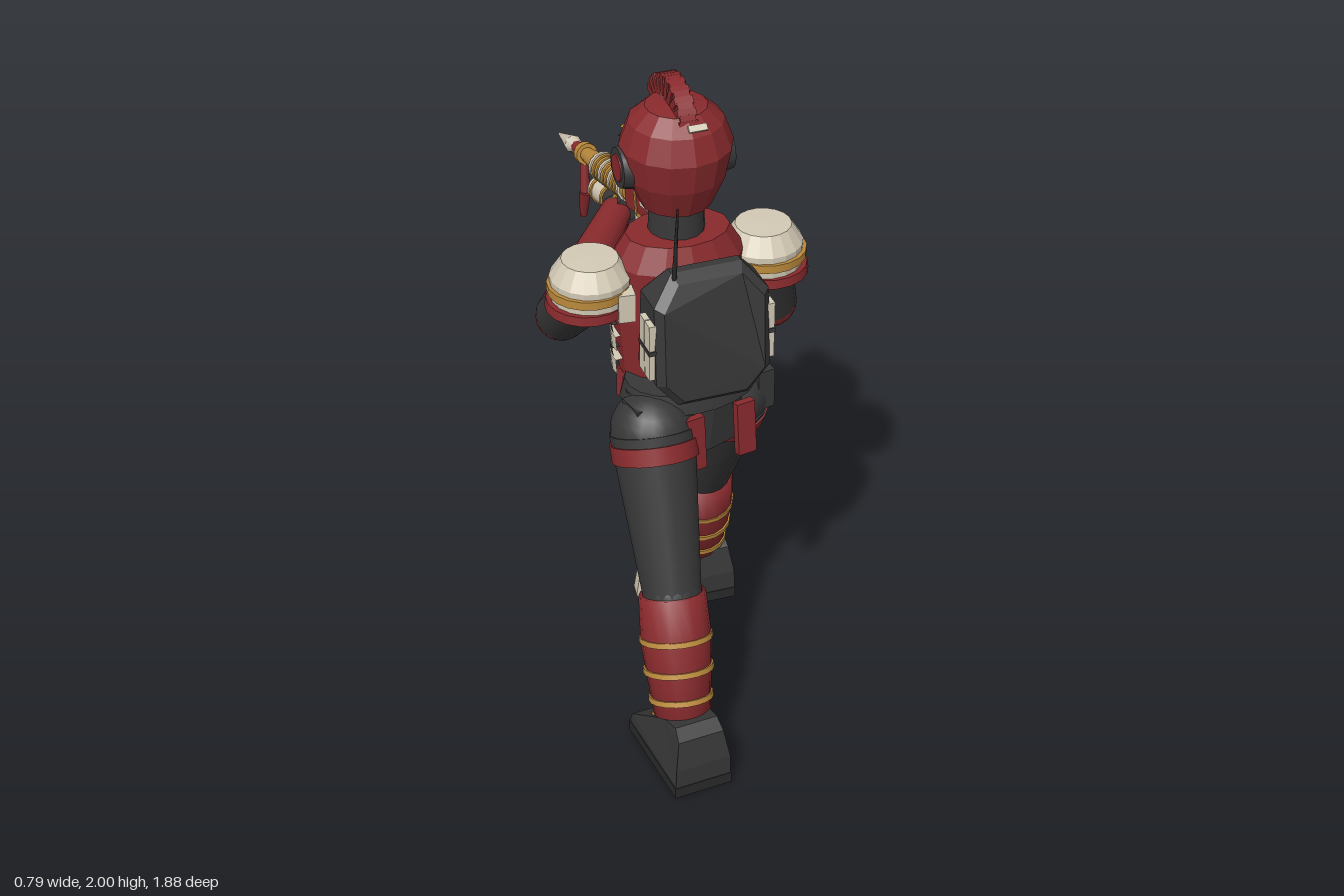
import * as THREE from 'three';

const mat = (name, color) => Object.assign(new THREE.MeshStandardMaterial({ color }), { name });
const red = mat('armour red', 0x892a2d), dark = mat('charcoal cloth', 0x383838), bone = mat('bone white', 0xd3c9b5);
const gold = mat('brass', 0xbb8a3c), black = mat('black rubber', 0x2a2a2a);
const V = (x, y, z) => new THREE.Vector3(x, y, z);
const UP = V(0, 1, 0);

function add(parent, name, geo, m, x = 0, y = 0, z = 0, rx = 0, ry = 0, rz = 0) {
  const mesh = new THREE.Mesh(geo, m);
  mesh.name = name;
  mesh.position.set(x, y, z);
  mesh.rotation.set(rx, ry, rz);
  parent.add(mesh);
  return mesh;
}
const box = (w, h, d) => new THREE.BoxGeometry(w, h, d);
const shape = (pts) => new THREE.Shape(pts.map(p => new THREE.Vector2(p[0], p[1])));
const faceted = (g) => { const f = g.index ? g.toNonIndexed() : g; f.computeVertexNormals(); return f; };
// Lathe from [radius, height] pairs given bottom to top
const lathe = (pts, n = 20) => new THREE.LatheGeometry(pts.map(p => new THREE.Vector2(p[0], p[1])), n);
// Tapered round segment from a to b
function limb(parent, name, m, a, b, ra, rb, n = 18) {
  const d = b.clone().sub(a);
  const mesh = add(parent, name, new THREE.CylinderGeometry(rb, ra, d.length(), n), m);
  mesh.position.copy(a).addScaledVector(d, 0.5);
  mesh.quaternion.setFromUnitVectors(UP, d.normalize());
  return mesh;
}
// Curved plate wrapping the front (-z) side
const frontPlate = (rTop, rBottom, h, arc, squash = 1) =>
  new THREE.CylinderGeometry(rTop, rBottom, h, 16, 1, false, Math.PI - arc / 2, arc).scale(1, 1, squash);

function buildFoot(parent, x, z, yaw) {
  const foot = new THREE.Group();
  foot.name = 'foot';
  const side = shape([[0.168, 0.035], [0.168, 0.1], [0.15, 0.19], [0.115, 0.22], [0.04, 0.2], [-0.15, 0.075], [-0.168, 0.035]]);
  const upper = new THREE.ExtrudeGeometry(side, { depth: 0.178, bevelEnabled: false })
    .translate(0, 0, -0.089).rotateY(-Math.PI / 2);
  const p = upper.attributes.position;
  for (let i = 0; i < p.count; i++) p.setX(i, p.getX(i) * (1 - Math.max(0, p.getY(i) - 0.09) * 1.9));
  add(foot, 'boot upper', faceted(upper), dark);
  add(foot, 'boot sole', box(0.182, 0.036, 0.34), black, 0, 0.018, 0);
  add(foot, 'boot buckle', box(0.13, 0.012, 0.03), gold, 0, 0.143, -0.05, -0.57);
  foot.position.set(x, 0, z);
  foot.rotation.y = yaw;
  parent.add(foot);
}

function buildLeg(parent, hip, knee, ankle, pad, padTilt) {
  const leg = new THREE.Group();
  leg.name = 'leg';
  const at = (t) => hip.clone().lerp(knee, t);
  add(leg, 'hip joint', new THREE.SphereGeometry(0.125, 18, 12), dark, hip.x, hip.y, hip.z);
  limb(leg, 'thigh', dark, hip, knee, 0.128, 0.088);
  limb(leg, 'thigh band', red, at(0.06), at(0.17), 0.131, 0.129);
  add(leg, 'knee joint', new THREE.SphereGeometry(0.09, 16, 12), dark, knee.x, knee.y, knee.z);
  // Shin guard with three brass rings
  const d = ankle.clone().sub(knee), len = d.length();
  const shin = add(leg, 'shin guard', lathe([[0, 0], [0.085, 0], [0.106, len * 0.6], [0.1, len], [0, len]], 18), red);
  shin.position.copy(ankle);
  shin.quaternion.setFromUnitVectors(UP, d.clone().normalize().negate());
  for (const [t, r] of [[0.34, 0.109], [0.6, 0.105], [0.84, 0.096]])
    limb(leg, 'shin ring', gold, knee.clone().addScaledVector(d, t), knee.clone().addScaledVector(d, t + 0.045), r, r + 0.001);
  add(leg, 'knee pad', faceted(lathe([[0, -0.075], [0.062, -0.075], [0.085, -0.02], [0.076, 0.07], [0, 0.07]], 10)
    .scale(1, 1, 0.75)), bone, pad.x, pad.y, pad.z, padTilt);
  parent.add(leg);
}

function buildHead(body) {
  const head = new THREE.Group();
  head.name = 'head';
  head.position.z = -0.015;
  body.add(head);
  add(head, 'helmet', faceted(lathe([[0, 1.62], [0.103, 1.62], [0.145, 1.715], [0.164, 1.81], [0.137, 1.885], [0.09, 1.928],
    [0, 1.94]], 14)), red);
  add(head, 'visor', frontPlate(0.17, 0.158, 0.12, 1.9), black, 0, 1.74, 0);
  add(head, 'visor brow', frontPlate(0.174, 0.174, 0.018, 1.6), gold, 0, 1.806, 0);
  add(head, 'face mask', new THREE.CylinderGeometry(0.09, 0.065, 0.075, 12), dark, 0, 1.678, -0.105);
  add(head, 'goggles', frontPlate(0.184, 0.184, 0.055, 1.0), black, 0, 1.755, 0);
  add(head, 'mask filter', box(0.09, 0.055, 0.06), dark, 0, 1.672, -0.18);
  for (const s of [-1, 1]) {
    add(head, 'cheek guard', box(0.014, 0.1, 0.06), bone, s * 0.13, 1.715, -0.105, 0, s * 0.75);
    add(head, 'jaw guard', box(0.014, 0.04, 0.07), bone, s * 0.078, 1.67, -0.145, 0, s * 0.95);
    add(head, 'ear cup', new THREE.CylinderGeometry(0.06, 0.068, 0.04, 16), dark, s * 0.148, 1.745, -0.02, 0, 0, -s * Math.PI / 2);
    add(head, 'ear disc', new THREE.CylinderGeometry(0.04, 0.043, 0.045, 16), red, s * 0.15, 1.745, -0.02, 0, 0, -s * Math.PI / 2);
  }
  // Fan crest on a pale base
  add(head, 'crest base', new THREE.CylinderGeometry(0.085, 0.085, 0.052, 24).rotateZ(Math.PI / 2).scale(1, 1, 1.4),
    bone, 0, 1.868, -0.028);
  for (let i = 0; i < 19; i++) {
    const a = -1.25 + i * 0.139;
    add(head, 'crest fin', box(i % 2 ? 0.046 : 0.056, 0.06, 0.0225), red, 0, 1.872 + Math.cos(a) * 0.097,
      -0.028 + Math.sin(a) * 0.108, a);
  }
  add(head, 'helmet badge', box(0.055, 0.02, 0.008), bone, 0.02, 1.907, 0.118, -0.85);
}

function buildUpperBody(root) {
  const body = new THREE.Group();
  body.name = 'upperBody';
  body.position.set(0, 0, 0.25);
  body.rotation.y = 0.13;
  root.add(body);
  add(body, 'torso', faceted(lathe([[0, 1.08], [0.175, 1.08], [0.195, 1.28], [0.2, 1.46], [0.155, 1.535], [0, 1.535]], 14)
    .scale(1, 1, 0.72)), red);
  add(body, 'chest plate', frontPlate(0.211, 0.208, 0.17, 2.3, 0.72), bone, 0, 1.335, 0);
  const wing = shape([[-0.1, 0.07], [-0.03, 0.045], [0, 0.06], [0.03, 0.045], [0.1, 0.07], [0.045, 0], [0, -0.06], [-0.045, 0]]);
  add(body, 'chest ornament', new THREE.ExtrudeGeometry(wing, { depth: 0.008, bevelEnabled: false }), gold, 0, 1.37, -0.161);
  for (const s of [-1, 1])
    add(body, 'chest inlay', box(0.045, 0.03, 0.008), red, s * 0.085, 1.315, -0.143, 0, -s * 0.32);
  for (const [y, h, m] of [[1.235, 0.03, dark], [1.195, 0.05, bone], [1.155, 0.03, dark], [1.115, 0.05, bone]])
    add(body, 'abdomen band', frontPlate(0.203, 0.199, h, m === bone ? 3.5 : 3.2, 0.74), m, 0, y, 0);

  // Backpack with side canisters and antenna
  const w = 0.15, c = 0.055;
  const pack = shape([[-w + c, 1.155], [w - c, 1.155], [w, 1.22], [w, 1.45], [w - c, 1.515], [-w + c, 1.515], [-w, 1.45],
    [-w, 1.22]]);
  const g = new THREE.ExtrudeGeometry(pack, { depth: 0.15, bevelSize: 0.022, bevelThickness: 0.022, bevelSegments: 1 });
  const p = g.attributes.position;
  for (let i = 0; i < p.count; i++) {
    const rise = Math.max(0, p.getY(i) - 1.42);
    p.setZ(i, p.getZ(i) + rise * (p.getZ(i) > 0.08 ? -0.55 : 0.5));
  }
  add(body, 'backpack', faceted(g), dark, 0, 0, 0.145);
  for (const s of [-1, 1]) {
    for (const y of [1.27, 1.365])
      for (const z of [0.223, 0.265]) add(body, 'backpack canister', box(0.025, 0.084, 0.038), bone, s * 0.177, y, z);
    add(body, 'canister strap', box(0.027, 0.014, 0.088), dark, s * 0.178, 1.318, 0.244);
  }
  limb(body, 'antenna', black, V(-0.1, 1.5, 0.24), V(-0.105, 1.77, 0.28), 0.008, 0.003, 6);
  add(body, 'neck', new THREE.CylinderGeometry(0.078, 0.085, 0.16, 14), dark, 0, 1.57, -0.01);
  buildHead(body);
}

function buildArm(root, side, shoulder, elbow, hand) {
  const arm = new THREE.Group();
  arm.name = side + 'Arm';
  root.add(arm);
  limb(arm, 'upper arm', dark, shoulder, elbow, 0.085, 0.078);
  add(arm, 'elbow', new THREE.SphereGeometry(0.078, 16, 12), red, elbow.x, elbow.y, elbow.z);
  limb(arm, 'forearm', red, elbow, hand, 0.078, 0.05);
  add(arm, 'glove', new THREE.SphereGeometry(0.05, 14, 10), dark, hand.x, hand.y, hand.z);
  // Layered shoulder guard
  const pad = new THREE.Group();
  pad.name = 'shoulderGuard';
  pad.position.set(shoulder.x, 0, shoulder.z);
  const s = Math.sign(shoulder.x);
  add(pad, 'guard dome', faceted(lathe([[0, 1.37], [0.116, 1.37], [0.118, 1.44], [0.083, 1.494], [0, 1.496]], 18)), bone);
  add(pad, 'guard band', new THREE.CylinderGeometry(0.121, 0.121, 0.026, 18), gold, s * 0.006, 1.408, 0.006);
  add(pad, 'guard rim', new THREE.CylinderGeometry(0.12, 0.124, 0.028, 18), red, s * 0.01, 1.357, 0.006);
  add(pad, 'guard strap', box(0.05, 0.09, 0.07), bone, -s * 0.085, 1.375, 0.075);
  arm.add(pad);
}

function buildRifle(root) {
  const gun = new THREE.Group();
  gun.name = 'rifle';
  gun.position.set(0.085, 1.4, 0.07);
  root.add(gun);
  gun.lookAt(-0.125, 1.22, -0.94);
  // Round part along the rifle, from distance a to b
  const tube = (name, m, a, b, ra, rb = ra, y = 0, n = 14) => limb(gun, name, m, V(0, y, a), V(0, y, b), ra, rb, n);
  add(gun, 'stock', box(0.055, 0.08, 0.16), bone, 0, -0.005, 0.08);
  add(gun, 'stock butt', box(0.06, 0.09, 0.014), gold, 0, -0.005, 0.007);
  add(gun, 'stock lower trim', box(0.06, 0.012, 0.15), gold, 0, -0.045, 0.085);
  add(gun, 'stock inlay', box(0.06, 0.016, 0.06), dark, 0, 0.005, 0.09);
  add(gun, 'receiver', box(0.065, 0.08, 0.28), red, 0, -0.004, 0.28);
  add(gun, 'receiver cover', box(0.058, 0.02, 0.25), bone, 0, 0.042, 0.28);
  for (const z of [0.15, 0.34]) add(gun, 'receiver band', box(0.07, 0.09, 0.014), gold, 0, 0, z);
  add(gun, 'receiver side plate', box(0.07, 0.04, 0.06), bone, 0, 0.015, 0.275);
  add(gun, 'receiver lower trim', box(0.068, 0.014, 0.18), gold, 0, -0.044, 0.25);
  add(gun, 'receiver front', box(0.06, 0.07, 0.04), bone, 0, 0, 0.425);
  tube('barrel jacket', gold, 0.42, 0.69, 0.041);
  for (let i = 0; i < 10; i++) tube('cooling ring', i % 3 ? gold : bone, 0.445 + i * 0.024, 0.459 + i * 0.024, 0.048);
  tube('barrel', gold, 0.69, 0.82, 0.034, 0.021);
  tube('barrel collar', gold, 0.8, 0.825, 0.036);
  tube('spear shaft', red, 0.82, 0.9, 0.019);
  tube('spear base', bone, 0.88, 0.915, 0.017, 0.03, 0, 8);
  tube('spear tip', bone, 0.915, 1.046, 0.03, 0.001, 0, 8);
  // Scope and sight
  tube('scope body', red, 0.1, 0.25, 0.035, 0.035, 0.112);
  tube('scope eyepiece', bone, 0.035, 0.105, 0.031, 0.036, 0.112);
  tube('scope lens', black, 0.028, 0.036, 0.025, 0.025, 0.112);
  for (const z of [0.13, 0.22]) {
    tube('scope ring', gold, z, z + 0.012, 0.039, 0.039, 0.112);
    add(gun, 'scope mount', box(0.025, 0.06, 0.02), dark, 0, 0.065, z);
  }
  add(gun, 'scope knob', box(0.015, 0.04, 0.015), dark, 0, 0.155, 0.14);
  add(gun, 'front sight', box(0.05, 0.022, 0.08), dark, 0, 0.072, 0.42);
  add(gun, 'sight post', box(0.02, 0.05, 0.02), dark, 0, 0.05, 0.41);
  // Lower parts
  add(gun, 'sling', box(0.03, 0.1, 0.03), red, 0, -0.085, 0.12, 0.5);
  add(gun, 'fore grip upper', box(0.045, 0.09, 0.065), bone, 0, -0.07, 0.345, -0.15);
  add(gun, 'fore grip lower', box(0.04, 0.1, 0.045), bone, 0, -0.15, 0.37, -0.4);
  add(gun, 'magazine', box(0.05, 0.16, 0.055), dark, 0, -0.11, 0.235, 0.15);
  for (const [y, z] of [[-0.06, 0.23], [-0.19, 0.222]])
    add(gun, 'magazine band', box(0.054, 0.016, 0.06), gold, 0, y, z, 0.15);
  tube('launcher grip', dark, 0.49, 0.6, 0.04, 0.04, -0.085);
  tube('launcher tube', bone, 0.59, 0.71, 0.038, 0.043, -0.085);
  for (const z of [0.52, 0.6, 0.68]) tube('launcher ring', gold, z, z + 0.013, 0.046, 0.046, -0.085);
  // Ribbon tied behind the spear tip
  limb(root, 'ribbon upper', red, V(-0.083, 1.25, -0.715), V(-0.085, 1.13, -0.695), 0.014, 0.019, 6);
  limb(root, 'ribbon tail', red, V(-0.085, 1.13, -0.695), V(-0.087, 1.03, -0.718), 0.019, 0.012, 6);
}

export function createModel() {
  const root = new THREE.Group();
  root.name = 'trooper';
  buildLeg(root, V(-0.115, 0.97, 0.43), V(-0.1, 0.52, 0.63), V(-0.1, 0.18, 0.77), V(-0.11, 0.49, 0.54), 0.15);
  buildLeg(root, V(0.15, 0.97, 0.28), V(0.13, 0.5, 0.035), V(0.13, 0.18, -0.035), V(0.13, 0.545, -0.022), -0.15);
  buildFoot(root, -0.105, 0.76, 0.2);
  buildFoot(root, 0.135, -0.105, 0.1);

  // Pelvis, belt and pouches
  const hips = new THREE.Group();
  hips.name = 'hips';
  hips.position.set(0.02, 0, 0.32);
  hips.rotation.y = 0.3;
  root.add(hips);
  add(hips, 'pelvis', faceted(new THREE.CylinderGeometry(0.2, 0.17, 0.2, 12).scale(1.05, 1, 0.74)), dark, 0, 0.98, 0);
  add(hips, 'belt', new THREE.CylinderGeometry(0.19, 0.205, 0.06, 20).scale(1.06, 1, 0.76), dark, 0, 1.07, 0);
  add(hips, 'belt buckle', box(0.08, 0.06, 0.02), gold, 0, 1.06, -0.16);
  for (const s of [-1, 1]) {
    add(hips, 'side pouch', box(0.055, 0.13, 0.09), dark, s * 0.205, 1.01, 0.06);
    add(hips, 'front pouch', box(0.07, 0.1, 0.05), red, s * 0.13, 1.03, -0.125, 0, -s * 0.6);
  }
  for (const x of [-0.07, 0.1]) add(hips, 'rear strap', box(0.06, 0.17, 0.025), red, x, 0.945, 0.155, -0.1);
  add(hips, 'hip pouch', box(0.035, 0.09, 0.06), red, 0.215, 1.05, -0.06);

  buildUpperBody(root);
  buildArm(root, 'left', V(0.265, 1.38, 0.21), V(0.315, 1.17, 0.13), V(0.13, 1.23, -0.11));
  buildArm(root, 'right', V(-0.265, 1.38, 0.29), V(-0.305, 1.15, 0.04), V(-0.04, 1.21, -0.42));
  buildRifle(root);
  return root;
}
